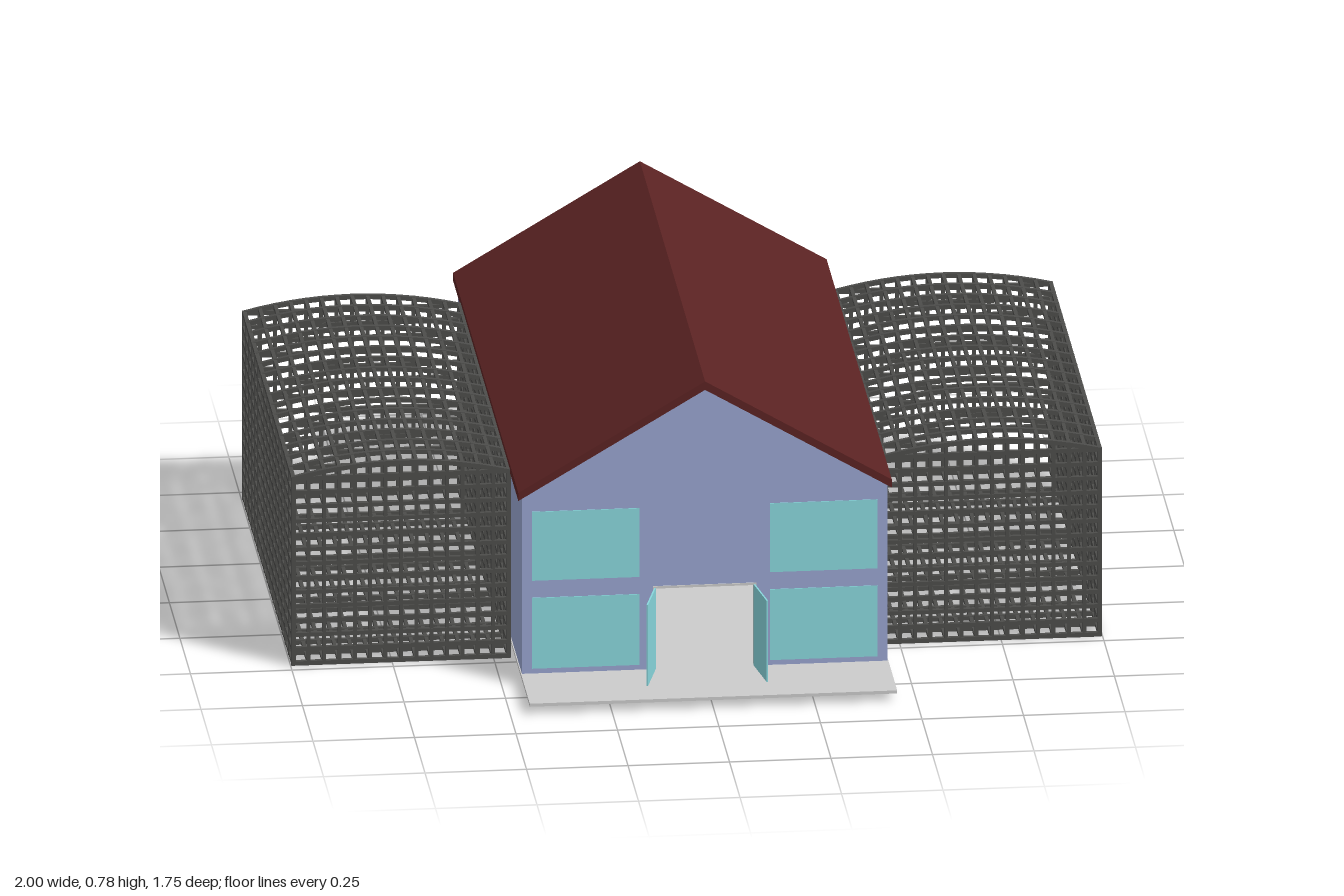
import * as THREE from 'three';
import { mergeGeometries } from 'three/addons/utils/BufferGeometryUtils.js';

const mat = (color, side = THREE.FrontSide) =>
  new THREE.MeshStandardMaterial({ color, side, flatShading: true });
const WALL = mat(0x98a4cf), ROOF = mat(0x5a2222), GLASS = mat(0x88d6dc);
const BAR = mat(0x4c4c4a), GREY = mat(0xcccccc);

const FRONT = 0.66, BACK = -0.86, HALF = 0.45, FLOOR = 0.035, T = 0.012;

function add(parent, name, geometry, material, x = 0, y = 0, z = 0) {
  const mesh = new THREE.Mesh(geometry, material);
  mesh.name = name;
  mesh.position.set(x, y, z);
  parent.add(mesh);
  return mesh;
}

function polygon(points) {
  return new THREE.Shape(points.map(([x, y]) => new THREE.Vector2(x, y)));
}

function extrude(shape, depth) {
  return new THREE.ExtrudeGeometry(shape, { depth, bevelEnabled: false });
}

// Square bar running from a to b
function bar(a, b, w = 0.011) {
  const from = new THREE.Vector3(...a), to = new THREE.Vector3(...b);
  const dir = to.clone().sub(from);
  const g = new THREE.BoxGeometry(w, dir.length() + w * 0.8, w);
  const q = new THREE.Quaternion().setFromUnitVectors(
    new THREE.Vector3(0, 1, 0), dir.clone().normalize());
  g.applyQuaternion(q);
  g.translate(...from.add(to).multiplyScalar(0.5).toArray());
  return g;
}

function house() {
  const group = new THREE.Group();
  group.name = 'house';
  const gable = () => polygon([[-HALF, FLOOR], [HALF, FLOOR], [HALF, 0.5], [0, 0.768], [-HALF, 0.5]]);

  // Walls, the front one with an open doorway
  const front = polygon([[-HALF, FLOOR], [-0.125, FLOOR], [-0.125, 0.25], [0.125, 0.25],
    [0.125, FLOOR], [HALF, FLOOR], [HALF, 0.5], [0, 0.768], [-HALF, 0.5]]);
  add(group, 'frontWall', extrude(front, T), WALL, 0, 0, FRONT - T);
  add(group, 'backWall', extrude(gable(), T), WALL, 0, 0, BACK);
  for (const s of [-1, 1]) {
    add(group, s > 0 ? 'leftWall' : 'rightWall',
      new THREE.BoxGeometry(T, 0.5 - FLOOR, FRONT - BACK - 2 * T), WALL,
      s * (HALF - T / 2), (0.5 + FLOOR) / 2, (FRONT + BACK) / 2);
  }

  // Folded roof sheet with a slight overhang
  const roof = polygon([[-0.46, 0.493], [0, 0.766], [0.46, 0.493], [0.46, 0.514], [0, 0.788], [-0.46, 0.514]]);
  add(group, 'roof', extrude(roof, 1.55), ROOF, 0, 0, -0.88);

  // Floor slab that continues as a porch
  add(group, 'floorSlab', new THREE.BoxGeometry(0.905, 0.008, 1.73), GREY, 0, 0.033, 0.005);

  // Windows in two storeys and open glass doors
  for (const s of [-1, 1]) {
    for (const [y0, y1] of [[0.05, 0.235], [0.28, 0.46]]) {
      add(group, 'window', new THREE.BoxGeometry(0.265, y1 - y0, T + 0.004), GLASS,
        s * 0.293, (y0 + y1) / 2, FRONT - T / 2);
    }
    const dx = s < 0 ? -0.032 : 0.02;
    const door = add(group, 'door', new THREE.BoxGeometry(0.004, 0.212, Math.hypot(dx, 0.12)), GLASS,
      s * 0.122 + dx / 2, 0.144, FRONT + 0.06);
    door.rotation.y = Math.atan2(dx, 0.12);
    add(group, 'doorPost', new THREE.BoxGeometry(0.006, 0.215, T + 0.004), GREY,
      s * 0.124, 0.144, FRONT - T / 2);
  }
  add(group, 'doorLintel', new THREE.BoxGeometry(0.254, 0.006, T + 0.004), GREY, 0, 0.251, FRONT - T / 2);
  return group;
}

// Barred enclosure with a shallow arched top
function cage() {
  const x0 = 0.463, x1 = 0.993, y0 = 0.014, z0 = -0.697, z1 = 0.465;
  const hoops = 16, columns = 14, rows = 13;
  const lerp = THREE.MathUtils.lerp;
  const top = (u) => 0.497 + 0.033 * (1 - (2 * u - 1) ** 2);
  const parts = [];

  // Hoops across the enclosure
  for (let i = 0; i <= hoops; i++) {
    const z = lerp(z0, z1, i / hoops);
    parts.push(bar([x0, y0, z], [x1, y0, z]));
    for (const x of [x0, x1]) parts.push(bar([x, y0, z], [x, top(0), z]));
    for (let k = 0; k < columns; k++) {
      const u = k / columns, v = (k + 1) / columns;
      parts.push(bar([lerp(x0, x1, u), top(u), z], [lerp(x0, x1, v), top(v), z]));
    }
  }
  // Lengthwise bars of top and base, uprights of both ends
  for (let i = 0; i <= columns; i++) {
    const u = i / columns, x = lerp(x0, x1, u);
    parts.push(bar([x, top(u), z0], [x, top(u), z1], 0.009));
    parts.push(bar([x, y0, z0], [x, y0, z1], 0.009));
    for (const z of [z0, z1]) parts.push(bar([x, y0, z], [x, top(u), z], 0.009));
  }
  // Horizontal rails around the sides
  for (let j = 1; j <= rows; j++) {
    const y = lerp(y0, top(0), j / rows);
    for (const x of [x0, x1]) parts.push(bar([x, y, z0], [x, y, z1], 0.01));
    for (const z of [z0, z1]) parts.push(bar([x0, y, z], [x1, y, z], 0.01));
  }
  return mergeGeometries(parts);
}

export function createModel() {
  const model = new THREE.Group();
  model.name = 'houseWithCages';
  model.add(house());
  const bars = cage();
  add(model, 'leftCage', bars, BAR);
  add(model, 'rightCage', bars, BAR, 0, 0, -0.232).rotation.y = Math.PI;
  return model;
}
